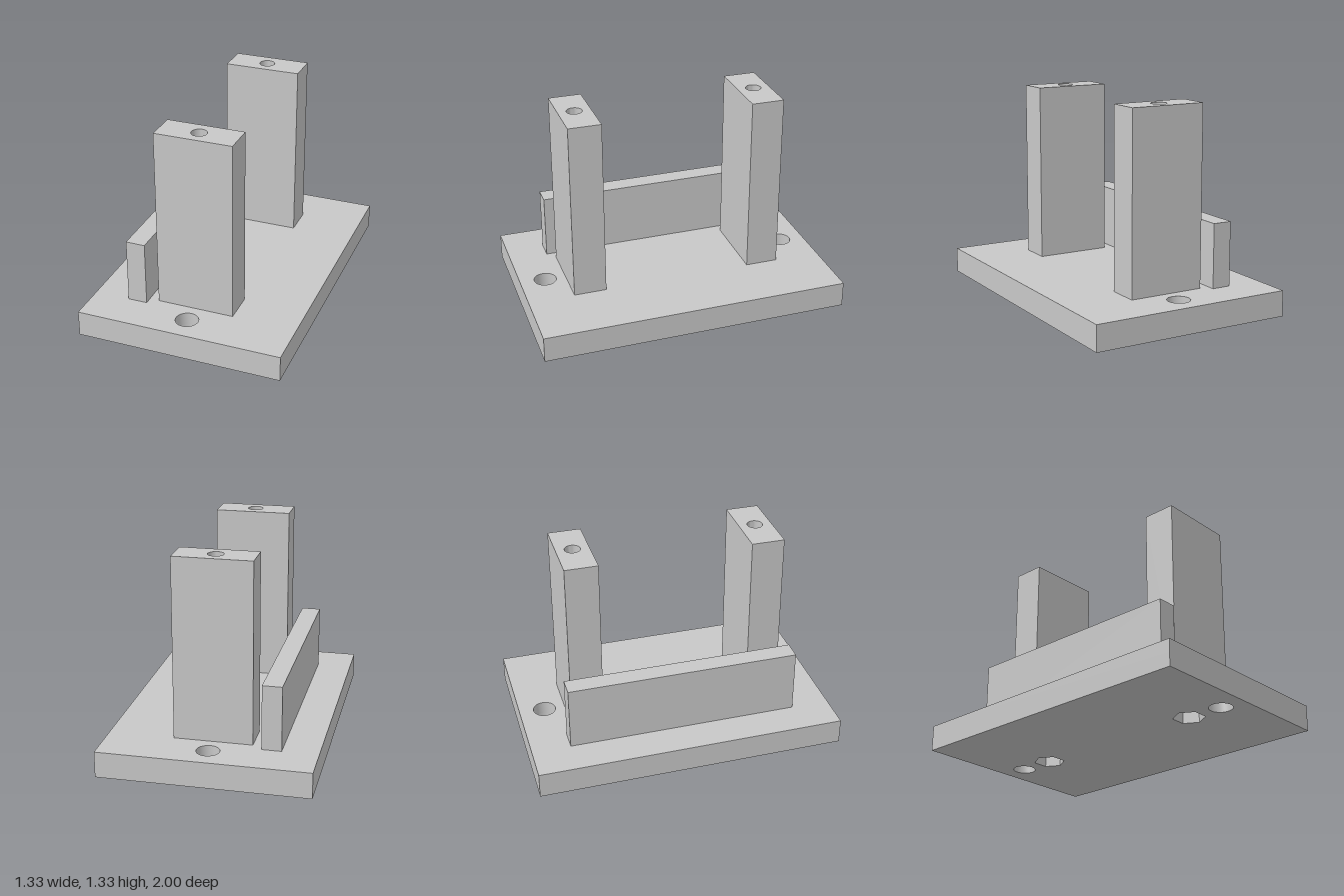
import * as THREE from 'three';
import { toCreasedNormals } from 'three/addons/utils/BufferGeometryUtils.js';

const grey = new THREE.MeshStandardMaterial({ color: 0xc8c8c8 });
grey.name = 'light grey';

const BASE_TOP = 0.167, RECESS = 0.083, WALL_TOP = 0.584;
const POST_Z = 0.594, POST_TOP = 1.333, BOLT_R = 0.05;
const MOUNT_Z = 0.834, MOUNT_R = 0.073, NUT_R = 0.1;

// Rectangle centred on the origin, with holes given as [z, radius, sides]
function plate(width, depth, holes) {
  const w = width / 2, d = depth / 2;
  const shape = new THREE.Shape([[-w, -d], [w, -d], [w, d], [-w, d]].map(p => new THREE.Vector2(...p)));
  for (const [z, r, sides] of holes) {
    const pts = [];
    for (let i = 0; i < sides; i++) {
      const a = -i / sides * Math.PI * 2;
      pts.push(new THREE.Vector2(r * Math.cos(a), r * Math.sin(a) - z));
    }
    shape.holes.push(new THREE.Path(pts));
  }
  return shape;
}

// Extrude a plan shape upward from y0 to y1
function slab(name, shape, y0, y1) {
  const geo = new THREE.ExtrudeGeometry(shape, { depth: y1 - y0, bevelEnabled: false });
  geo.rotateX(-Math.PI / 2);
  const mesh = new THREE.Mesh(toCreasedNormals(geo, 0.6), grey);
  mesh.name = name;
  mesh.position.y = y0;
  return mesh;
}

export function createModel() {
  const model = new THREE.Group();
  model.name = 'postStand';

  // Base: hexagonal nut recesses below, bolt holes above, mounting holes through both
  const mounts = [[-MOUNT_Z, MOUNT_R, 40], [MOUNT_Z, MOUNT_R, 40]];
  const nuts = [[-POST_Z, NUT_R, 6], [POST_Z, NUT_R, 6]];
  const bolts = [[-POST_Z, BOLT_R, 32], [POST_Z, BOLT_R, 32]];
  const base = new THREE.Group();
  base.name = 'base';
  base.add(
    slab('baseLower', plate(1.333, 2, [...mounts, ...nuts]), 0, RECESS),
    slab('baseUpper', plate(1.333, 2, [...mounts, ...bolts]), RECESS, BASE_TOP)
  );
  model.add(base);

  // Two upright posts with a bolt hole down the middle
  for (const [name, z] of [['frontPost', POST_Z], ['backPost', -POST_Z]]) {
    const post = slab(name, plate(0.5, 0.212, [[0, BOLT_R, 32]]), BASE_TOP, POST_TOP);
    post.position.z = z;
    model.add(post);
  }

  // Low side wall
  const wall = new THREE.Mesh(new THREE.BoxGeometry(0.125, WALL_TOP - BASE_TOP, 1.5), grey);
  wall.name = 'sideWall';
  wall.position.set(-0.375, (WALL_TOP + BASE_TOP) / 2, 0);
  model.add(wall);

  return model;
}
